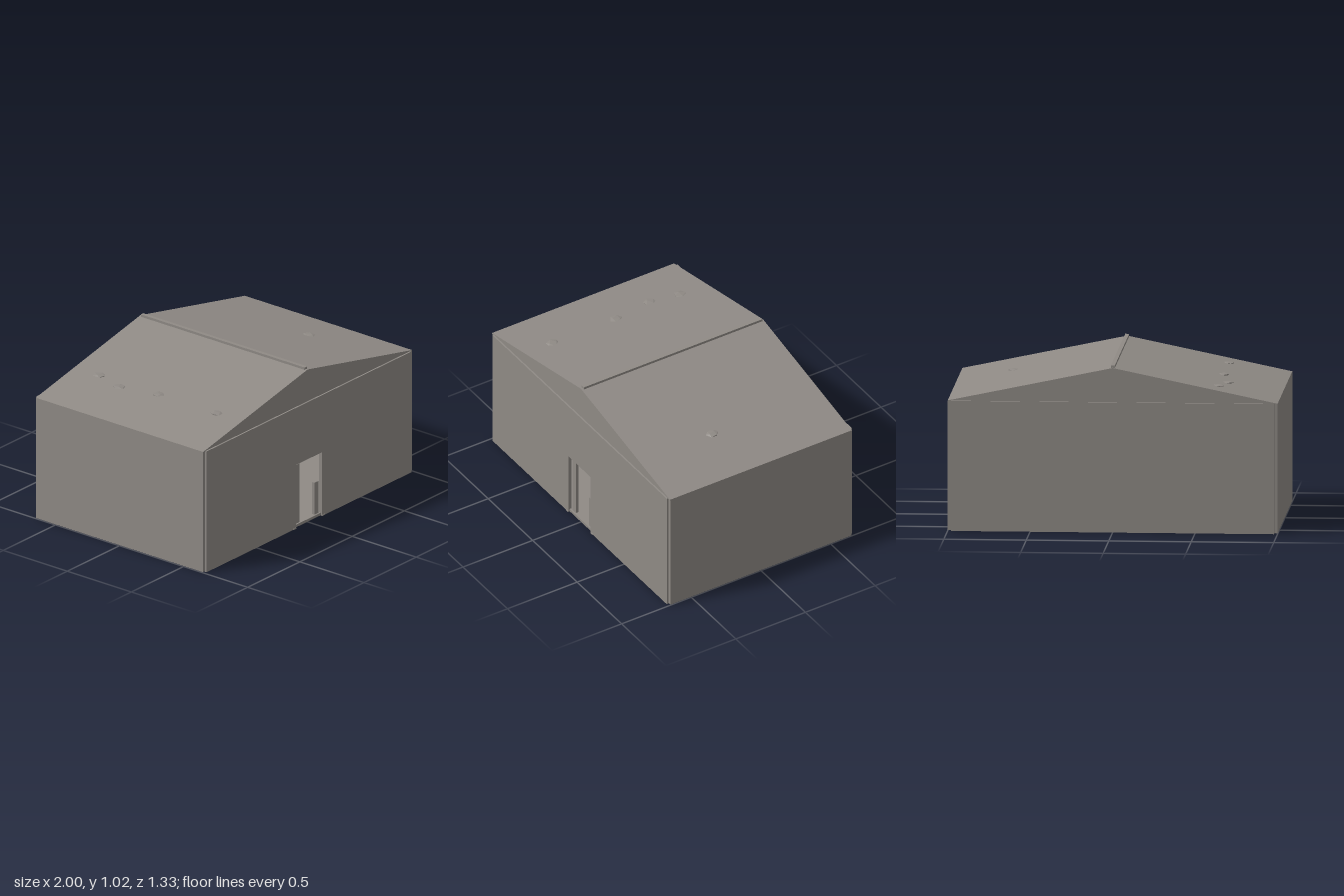
import * as THREE from 'three';

export function createModel() {
  const house = new THREE.Group();
  house.name = 'house';
  const stone = new THREE.MeshStandardMaterial({ color: 0x8f8a85, flatShading: true });
  stone.name = 'warm grey stone';

  const add = (name, geometry, x = 0, y = 0, z = 0) => {
    const mesh = new THREE.Mesh(geometry, stone);
    mesh.name = name;
    mesh.position.set(x, y, z);
    house.add(mesh);
    return mesh;
  };
  // Box given by its lower and upper limits on each axis
  const box = (name, x0, x1, y0, y1, z0, z1) =>
    add(name, new THREE.BoxGeometry(x1 - x0, y1 - y0, z1 - z0),
      (x0 + x1) / 2, (y0 + y1) / 2, (z0 + z1) / 2);
  // Extrusion of an outline along z
  const extrude = (name, points, z0, z1) => {
    const shape = new THREE.Shape(points.map(([x, y]) => new THREE.Vector2(x, y)));
    return add(name, new THREE.ExtrudeGeometry(shape,
      { depth: z1 - z0, bevelEnabled: false }), 0, 0, z0);
  };

  // Floor and walls; the front wall is notched for the doorway
  box('floor', -0.98, 0.98, 0.003, 0.02, -0.65, 0.645);
  extrude('frontWall', [
    [-0.98, 0], [-0.125, 0], [-0.125, 0.42], [0.125, 0.42],
    [0.125, 0], [0.98, 0], [0.98, 0.796], [-0.98, 0.796],
  ], 0.64, 0.663);
  box('backWall', -0.98, 0.98, 0, 0.796, -0.665, -0.64);
  for (const side of [-1, 1]) {
    const name = side > 0 ? 'left' : 'right';
    box(name + 'Wall', side * 0.99 - 0.01, side * 0.99 + 0.01, 0.004, 0.797, -0.65, 0.65);
    // Small plinth stones beside the doorway
    box(name + 'DoorStone', side * 0.138 - 0.013, side * 0.138 + 0.013, 0, 0.008, 0.64, 0.666);
  }

  // Doorway: full plank, broken plank and threshold
  box('tallDoorPlank', -0.108, -0.07, 0.02, 0.405, 0.625, 0.645);
  box('brokenDoorPlank', 0.075, 0.112, 0.02, 0.23, 0.625, 0.645);
  box('threshold', -0.125, 0.125, 0.003, 0.02, 0.64, 0.655);

  // Gabled roof with its ridge beam
  extrude('roof', [[-1, 0.79], [1, 0.79], [1, 0.797], [0, 1.005], [-1, 0.797]], -0.653, 0.653);
  box('ridgeBeam', -0.012, 0.012, 0.99, 1.018, -0.64, 0.64);

  // Flat loose stones half sunk in the roof
  [[-0.625, -0.46], [-0.67, -0.27], [-0.625, 0], [-0.625, 0.455], [0.65, 0.13]].forEach(([x, z], i) => {
    const roofY = 0.797 + 0.208 * (1 - Math.abs(x));
    const pebble = add('roofStone', new THREE.IcosahedronGeometry(0.043, 0), x, roofY, z);
    pebble.scale.set(1, 0.17, 1);
    pebble.rotation.y = i * 0.5;
  });

  return house;
}
